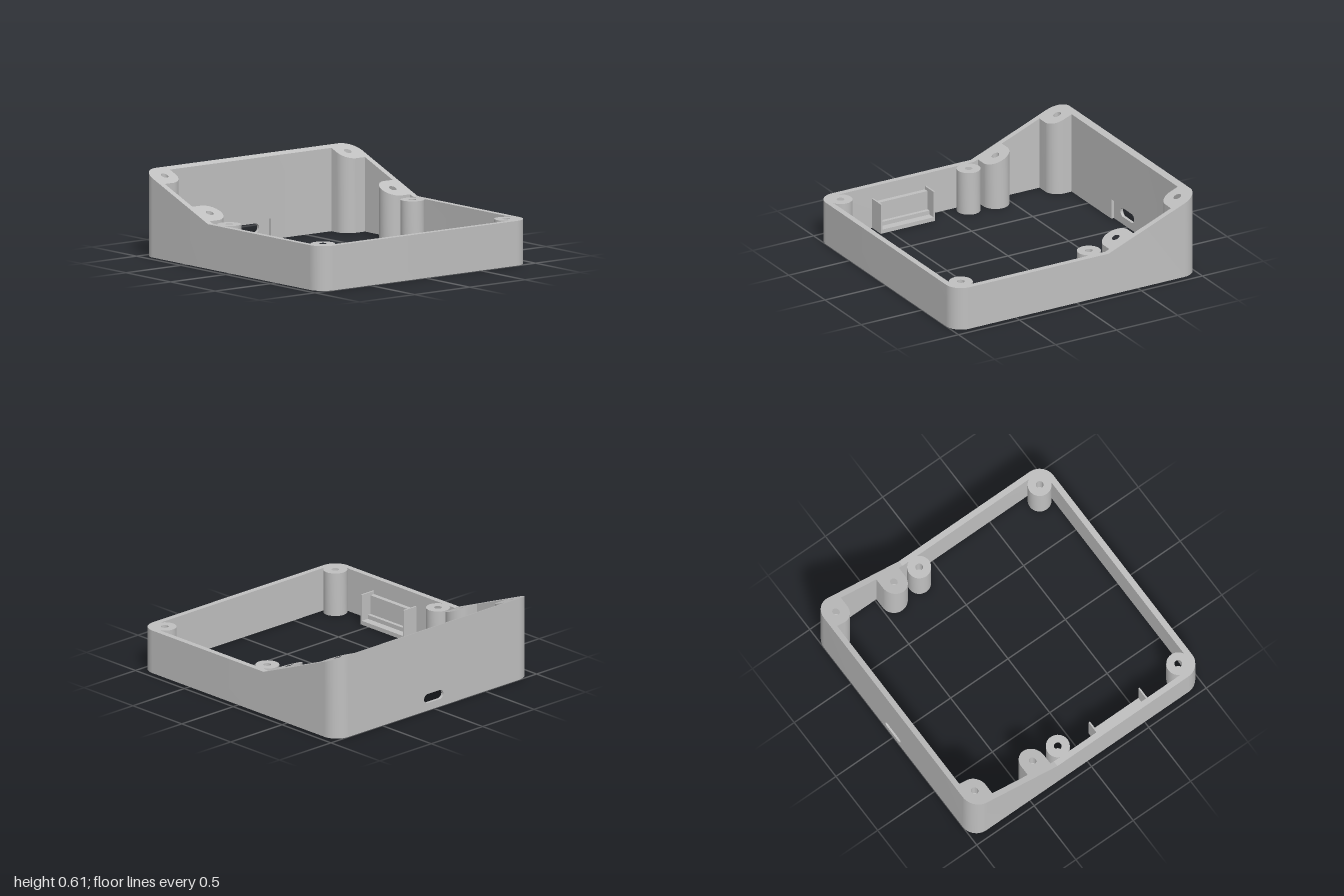
import * as THREE from 'three';
import { toCreasedNormals } from 'three/addons/utils/BufferGeometryUtils.js';

const PI = Math.PI;
const CREASE_Z = -0.26, LOW = 0.32, HIGH = 0.613;
// rim height: level at the front, ramping up to the back
const rim = z => LOW + Math.max(0, CREASE_Z - z) * (HIGH - LOW) / (1 + CREASE_Z);

export function createModel() {
  const group = new THREE.Group();
  const grey = new THREE.MeshStandardMaterial({ color: 0xc0c0c0 });

  const add = (name, geometry) => {
    const mesh = new THREE.Mesh(geometry, grey);
    mesh.name = name;
    group.add(mesh);
    return mesh;
  };
  const box = (name, x0, x1, y0, y1, z0, z1) =>
    add(name, new THREE.BoxGeometry(x1 - x0, y1 - y0, z1 - z0))
      .position.set((x0 + x1) / 2, (y0 + y1) / 2, (z0 + z1) / 2);

  // upright prism from a plan outline (x, -z) whose top follows the rim
  const prism = (name, outline, side, hole) => {
    const shape = new THREE.Shape(
      outline.getPoints(16).map(p => new THREE.Vector2(p.x * side, p.y)));
    if (hole) {
      shape.holes.push(new THREE.Path().absarc(hole[0] * side, hole[1], 0.027, 0, PI * 2, true));
    }
    const geo = new THREE.ExtrudeGeometry(shape, { depth: 1, bevelEnabled: false, curveSegments: 16 });
    geo.rotateX(-PI / 2);
    const pos = geo.attributes.position;
    for (let i = 0; i < pos.count; i++) {
      if (pos.getY(i) > 0.5) pos.setY(i, rim(pos.getZ(i)));
      else pos.setY(i, 0);
    }
    geo.computeVertexNormals();
    add(name, toCreasedNormals(geo, 0.5));
  };

  // floor of the blind screw holes
  const plug = (x, back, open) => {
    const top = rim(-back) - 0.12, bottom = open ? 0.08 : 0;
    add('screwHoleFloor', new THREE.CylinderGeometry(0.028, 0.028, top - bottom, 24))
      .position.set(x, (top + bottom) / 2, -back);
  };

  // half outlines of the shell
  const frontWall = new THREE.Shape();
  frontWall.moveTo(0, -1);
  frontWall.lineTo(0.83, -1);
  frontWall.absarc(0.83, -0.88, 0.12, -PI / 2, 0, false);
  frontWall.lineTo(0.95, -CREASE_Z);
  frontWall.lineTo(0.907, -CREASE_Z);
  frontWall.lineTo(0.907, -0.88);
  frontWall.absarc(0.83, -0.88, 0.077, 0, -PI / 2, true);
  frontWall.lineTo(0, -0.957);

  const backWall = new THREE.Shape();
  backWall.moveTo(0.95, -CREASE_Z);
  backWall.lineTo(0.95, 0.88);
  backWall.absarc(0.83, 0.88, 0.12, 0, PI / 2, false);
  backWall.lineTo(0.185, 1);
  backWall.lineTo(0.185, 0.957);
  backWall.lineTo(0.83, 0.957);
  backWall.absarc(0.83, 0.88, 0.077, PI / 2, 0, true);
  backWall.lineTo(0.907, -CREASE_Z);

  // sloped posts that merge into the side walls
  const middlePost = new THREE.Shape();
  middlePost.moveTo(0.93, 0.292);
  middlePost.lineTo(0.83, 0.292);
  middlePost.absarc(0.83, 0.39, 0.098, -PI / 2, -PI * 1.5, true);
  middlePost.lineTo(0.93, 0.488);

  const backPost = new THREE.Shape();
  backPost.moveTo(0.93, 0.797);
  backPost.lineTo(0.83, 0.797);
  backPost.absarc(0.83, 0.895, 0.098, -PI / 2, -PI, true);
  backPost.lineTo(0.732, 0.98);
  backPost.lineTo(0.83, 0.98);
  backPost.lineTo(0.9, 0.95);
  backPost.lineTo(0.93, 0.88);

  for (const side of [-1, 1]) {
    prism('frontWall', frontWall, side);
    prism('backWall', backWall, side);
    prism('middlePost', middlePost, side, [0.83, 0.39]);
    prism('backPost', backPost, side, [0.83, 0.895]);
    plug(0.83 * side, 0.39, false);
    plug(0.83 * side, 0.895, true);
    // round posts under the level rim
    for (const back of [-0.88, 0.17]) {
      const round = new THREE.Shape().absarc(0.83, back, 0.085, 0, PI * 2, false);
      prism('roundPost', round, side, [0.83, back]);
      plug(0.83 * side, back, back < 0);
    }
  }

  // back wall centre: thin outer skin with a port slot, thicker above the recess
  const panel = (name, bottom, z0, z1, slot) => {
    const shape = new THREE.Shape();
    shape.moveTo(-0.185, bottom);
    shape.lineTo(0.185, bottom);
    shape.lineTo(0.185, 1);
    shape.lineTo(-0.185, 1);
    if (slot) {
      const port = new THREE.Path();
      port.absarc(0.06, 0.09, 0.034, -PI / 2, PI / 2, false);
      port.absarc(-0.06, 0.09, 0.034, PI / 2, PI * 1.5, false);
      port.closePath();
      shape.holes.push(port);
    }
    const geo = new THREE.ExtrudeGeometry(shape, { depth: z1 - z0, bevelEnabled: false, curveSegments: 12 });
    geo.translate(0, 0, z0);
    const pos = geo.attributes.position;
    for (let i = 0; i < pos.count; i++) {
      if (pos.getY(i) > 0.9) pos.setY(i, rim(pos.getZ(i)));
    }
    geo.computeVertexNormals();
    add(name, toCreasedNormals(geo, 0.5));
  };
  panel('portPanel', 0, -1, -0.978, true);
  panel('panelAboveRecess', 0.15, -0.978, -0.957, false);

  // open holder on the inside of the right wall
  box('holderFloor', -0.91, -0.787, 0, 0.03, 0.13, 0.575);
  box('holderBack', -0.91, -0.872, 0, 0.2, 0.13, 0.575);
  box('holderStep', -0.872, -0.845, 0.03, 0.06, 0.13, 0.575);
  for (const z of [0.13, 0.563]) box('holderEnd', -0.91, -0.787, 0, 0.225, z, z + 0.012);

  return group;
}
